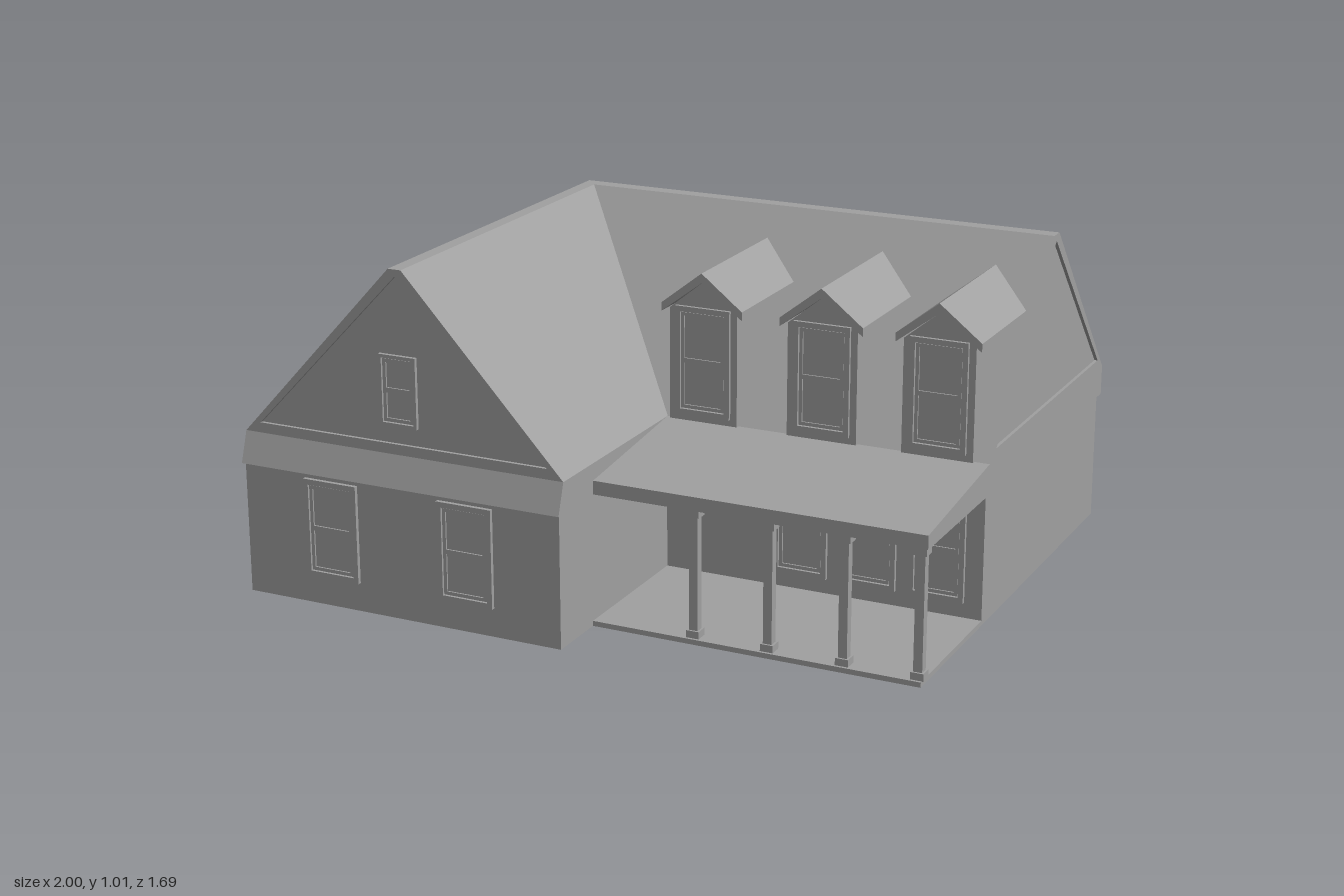
import * as THREE from 'three';

const siding = new THREE.MeshStandardMaterial({ color: 0xa0a0a0, side: THREE.DoubleSide, flatShading: true });
siding.name = 'grey';

const RIDGE = 1.01, EAVE = 0.48, SOFFIT = 0.39;
const frontSlopeZ = y => 0.18 - (y - EAVE) / (RIDGE - EAVE) * 0.49;

function add(parent, name, geometry, x = 0, y = 0, z = 0) {
  const mesh = new THREE.Mesh(geometry, siding);
  mesh.name = name;
  mesh.position.set(x, y, z);
  parent.add(mesh);
  return mesh;
}

// Flat convex panel through the given corners
function panel(parent, name, corners) {
  const pos = [];
  for (let i = 1; i < corners.length - 1; i++) pos.push(...corners[0], ...corners[i], ...corners[i + 1]);
  const g = new THREE.BufferGeometry();
  g.setAttribute('position', new THREE.Float32BufferAttribute(pos, 3));
  g.computeVertexNormals();
  return add(parent, name, g);
}

function extrude(outline, depth, hole) {
  const shape = new THREE.Shape(outline.map(p => new THREE.Vector2(...p)));
  if (hole) shape.holes.push(new THREE.Path(hole.map(p => new THREE.Vector2(...p))));
  return new THREE.ExtrudeGeometry(shape, { depth, bevelEnabled: false });
}

// Outline given as (z, y), running from x = 0 to x = -depth
const extrudeAlongX = (outline, depth, hole) => extrude(outline, depth, hole).rotateY(-Math.PI / 2);

const rect = (w, h) => [[-w / 2, -h / 2], [w / 2, -h / 2], [w / 2, h / 2], [-w / 2, h / 2]];

// Double-hung window facing +z, or -z when it is on the back
function sashWindow(parent, x, y, z, w, h, trim = 0.016, back = false) {
  const win = new THREE.Group();
  win.name = 'window';
  add(win, 'casing', extrude(rect(w, h), 0.012, rect(w - 2 * trim, h - 2 * trim)));
  const iw = w - 2 * trim - 0.004, ih = h - 2 * trim - 0.004;
  add(win, 'sash', extrude(rect(iw, ih), 0.008, rect(iw - 0.02, ih - 0.02)));
  add(win, 'meetingRail', new THREE.BoxGeometry(iw, 0.014, 0.008), 0, 0, 0.004);
  add(win, 'pane', new THREE.BoxGeometry(iw, ih, 0.003), 0, 0, 0.0015);
  win.position.set(x, y, z);
  if (back) win.rotation.y = Math.PI;
  parent.add(win);
}

// Prism along z whose back end is cut to lie on the front roof slope
function prismOnRoof(outline, frontZ) {
  const g = extrude(outline, 1).toNonIndexed?.() ?? extrude(outline, 1);
  const p = g.attributes.position;
  for (let i = 0; i < p.count; i++) {
    p.setZ(i, p.getZ(i) > 0.5 ? frontZ : frontSlopeZ(p.getY(i)));
  }
  g.computeVertexNormals();
  return g;
}

function dormer(parent, x) {
  const d = new THREE.Group();
  d.name = 'dormer';
  add(d, 'dormerBody', prismOnRoof([[-0.105, 0.485], [0.105, 0.485], [0.105, 0.815], [0, 0.9], [-0.105, 0.815]], 0.205));
  add(d, 'dormerRoof', prismOnRoof([[-0.125, 0.805], [0, 0.9], [0.125, 0.805], [0.125, 0.83], [0, 0.928], [-0.125, 0.83]], 0.218));
  sashWindow(d, 0, 0.665, 0.203, 0.17, 0.32);
  d.position.x = x;
  parent.add(d);
}

function buildWalls(house) {
  const plan = [[-0.995, -0.83], [0.99, -0.83], [0.99, 0.175], [0.015, 0.175], [0.015, 0.833], [-0.995, 0.833]];
  plan.forEach(([x, z], i) => {
    const [x2, z2] = plan[(i + 1) % plan.length];
    panel(house, 'wall', [[x, 0, z], [x, 0.4, z], [x2, 0.4, z2], [x2, 0, z2]]);
  });
}

function buildRoof(house) {
  const T = RIDGE, E = EAVE, S = SOFFIT, F = 0.815;
  panel(house, 'leftSlope', [[-1, E, -0.84], [-1, E, F], [-0.51, T, F], [-0.51, T, -0.355]]);
  panel(house, 'backSlope', [[-1, E, -0.84], [-0.51, T, -0.355], [1, T, -0.355], [1, E, -0.84]]);
  panel(house, 'wingInnerSlope', [[-0.47, T, -0.31], [-0.47, T, F], [0.02, E, F], [0.02, E, 0.18]]);
  panel(house, 'frontSlope', [[-0.47, T, -0.31], [0.02, E, 0.18], [1, E, 0.18], [1, T, -0.31]]);
  panel(house, 'wingRidgeCap', [[-0.51, T, -0.355], [-0.51, T, F], [-0.47, T, F], [-0.47, T, -0.31]]);
  panel(house, 'mainRidgeCap', [[-0.51, T, -0.355], [-0.47, T, -0.31], [1, T, -0.31], [1, T, -0.355]]);

  // Eave boards
  panel(house, 'leftFascia', [[-1, S, -0.84], [-1, S, 0.845], [-1, E, F], [-1, E, -0.84]]);
  panel(house, 'backFascia', [[1, S, -0.84], [-1, S, -0.84], [-1, E, -0.84], [1, E, -0.84]]);
  panel(house, 'wingInnerFascia', [[0.02, S, 0.845], [0.02, S, 0.18], [0.02, E, 0.18], [0.02, E, F]]);
  panel(house, 'frontSkirt', [[-1, S, 0.845], [0.02, S, 0.845], [0.02, E, F], [-1, E, F]]);
  panel(house, 'frontSoffit', [[-1, S, 0.83], [0.02, S, 0.83], [0.02, S, 0.845], [-1, S, 0.845]]);
  panel(house, 'backSoffit', [[-1, S, -0.84], [1, S, -0.84], [1, S, -0.828], [-1, S, -0.828]]);

  // Gables: a raised rake frame around a set-back triangle
  const frontHole = [[-0.95, 0.51], [-0.03, 0.51], [-0.49, 0.99]];
  add(house, 'frontRake', extrude([[-1, E], [0.02, E], [-0.47, T], [-0.51, T]], 0.012, frontHole), 0, 0, F - 0.012);
  add(house, 'frontGable', extrude(frontHole, 0.002), 0, 0, F - 0.012);
  const sideHole = [[-0.79, 0.51], [0.13, 0.51], [-0.333, 0.99]];
  const sideOutline = [[-0.84, S], [0.18, S], [0.18, E], [-0.31, T], [-0.355, T], [-0.84, E]];
  add(house, 'sideRake', extrudeAlongX(sideOutline, 0.012, sideHole), 1);
  add(house, 'sideGable', extrudeAlongX(sideHole, 0.002), 0.99);
}

function buildPorch(house) {
  const porch = new THREE.Group();
  porch.name = 'porch';
  add(porch, 'porchRoof', extrudeAlongX([[0.18, SOFFIT], [0.645, SOFFIT], [0.645, 0.43], [0.18, EAVE]], 0.98), 1);
  add(porch, 'porchFloor', new THREE.BoxGeometry(1.07, 0.015, 0.495), 0.455, 0.0075, 0.3975);
  for (const x of [0.318, 0.54, 0.76, 0.975]) {
    add(porch, 'porchColumn', new THREE.BoxGeometry(0.026, 0.38, 0.026), x, 0.2, 0.618);
    for (const y of [0.025, 0.378]) {
      add(porch, 'columnCollar', new THREE.BoxGeometry(0.038, 0.022, 0.038), x, y, 0.618);
    }
  }
  house.add(porch);
}

export function createModel() {
  const house = new THREE.Group();
  house.name = 'house';
  buildWalls(house);
  buildRoof(house);
  buildPorch(house);
  for (const x of [0.145, 0.51, 0.855]) dormer(house, x);

  // Windows
  for (const x of [-0.71, -0.278]) sashWindow(house, x, 0.23, 0.833, 0.172, 0.29);
  sashWindow(house, -0.493, 0.663, 0.804, 0.118, 0.205, 0.01);
  for (const x of [0.44, 0.65, 0.855]) sashWindow(house, x, 0.21, 0.175, 0.165, 0.3);
  for (const x of [-0.87, -0.345, 0.36, 0.87]) sashWindow(house, x, 0.205, -0.83, 0.175, 0.29, 0.016, true);
  return house;
}
